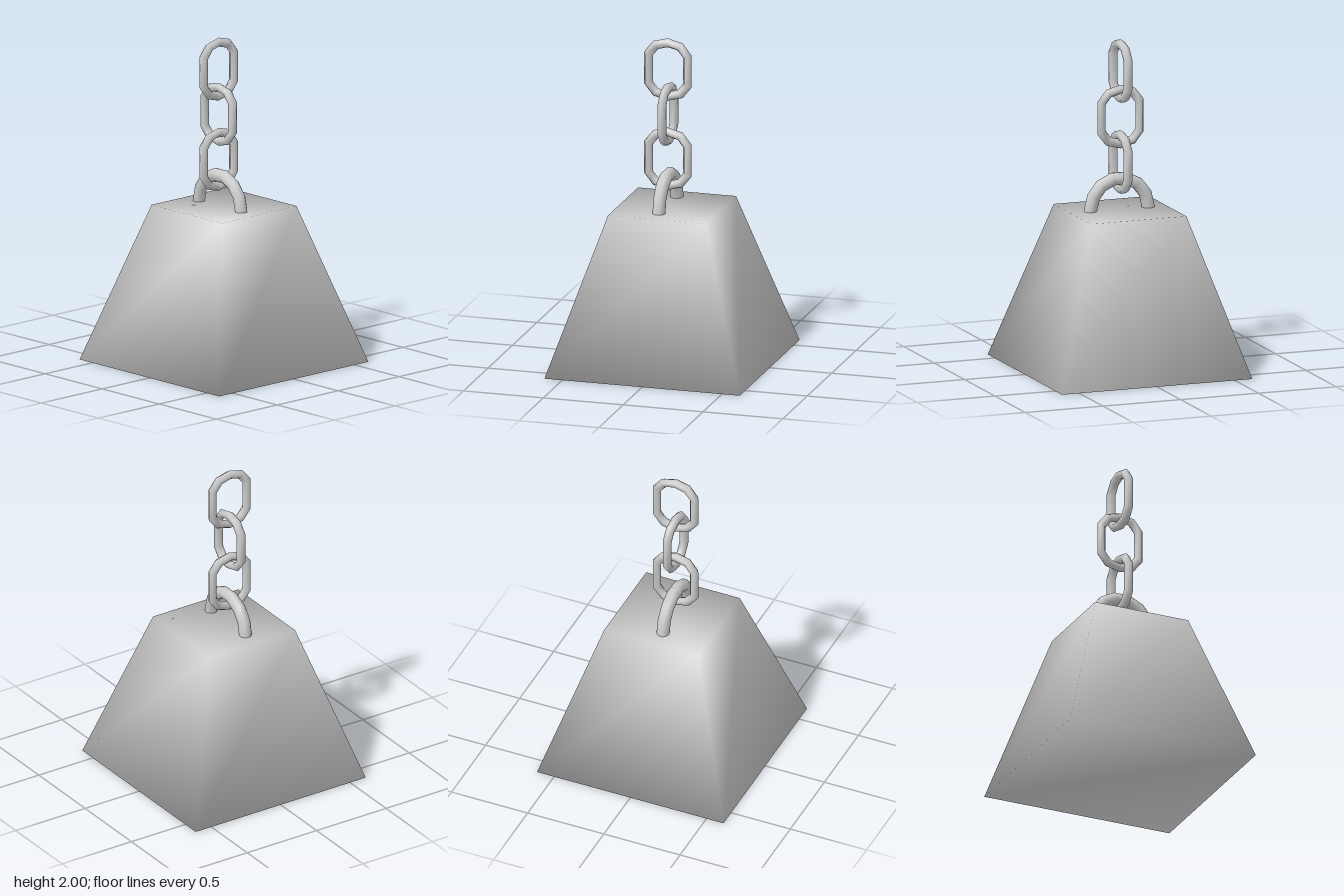
import * as THREE from 'three';
import { mergeVertices } from 'three/addons/utils/BufferGeometryUtils.js';

const material = new THREE.MeshStandardMaterial({ color: 0xcccccc });

// Sweeps a round section along a flat counter-clockwise path, with mitred corners
function sweep(path, radius, sides, closed, turn) {
  const n = path.length;
  const positions = [], index = [];
  const pts = path.map(([x, y]) => new THREE.Vector2(x, y));
  const direction = (a, b) => b.clone().sub(a).normalize();
  for (let i = 0; i < n; i++) {
    const before = closed || i > 0 ? direction(pts[(i + n - 1) % n], pts[i]) : null;
    const after = closed || i < n - 1 ? direction(pts[i], pts[(i + 1) % n]) : null;
    const d1 = before || after, d2 = after || before;
    const t = d1.clone().add(d2).normalize();
    const miter = radius / t.dot(d1);
    for (let j = 0; j < sides; j++) {
      const a = (j / sides) * Math.PI * 2 + turn;
      const out = Math.cos(a) * miter;
      positions.push(pts[i].x + t.y * out, pts[i].y - t.x * out, Math.sin(a) * radius);
    }
  }
  const spans = closed ? n : n - 1;
  for (let i = 0; i < spans; i++) {
    for (let j = 0; j < sides; j++) {
      const i2 = ((i + 1) % n) * sides, i1 = i * sides, j2 = (j + 1) % sides;
      index.push(i1 + j, i2 + j, i1 + j2, i2 + j, i2 + j2, i1 + j2);
    }
  }
  const geometry = new THREE.BufferGeometry();
  geometry.setAttribute('position', new THREE.Float32BufferAttribute(positions, 3));
  geometry.setIndex(index);
  geometry.computeVertexNormals();
  return geometry;
}

// Tapered block with normals shared across its eight corners
function weightGeometry(bottom, top, height) {
  let geometry = new THREE.BoxGeometry(2, height, 2);
  geometry.translate(0, height / 2, 0);
  const p = geometry.attributes.position;
  for (let i = 0; i < p.count; i++) {
    const half = p.getY(i) > height / 2 ? top : bottom;
    p.setX(i, p.getX(i) * half);
    p.setZ(i, p.getZ(i) * half);
  }
  geometry.deleteAttribute('uv');
  geometry.deleteAttribute('normal');
  geometry = mergeVertices(geometry);
  geometry.computeVertexNormals();
  return geometry;
}

export function createModel() {
  const model = new THREE.Group();
  const add = (name, geometry, x, y, z) => {
    const mesh = new THREE.Mesh(geometry, material);
    mesh.name = name;
    mesh.position.set(x, y, z);
    model.add(mesh);
    return mesh;
  };

  // Heavy block
  add('weightBlock', weightGeometry(0.612, 0.307, 0.96), 0, 0, 0);

  // Arched handle with its feet sunk into the block
  const arch = [[0.185, -0.04]];
  for (let i = 0; i <= 7; i++) {
    const a = (i / 7) * Math.PI;
    arch.push([0.185 * Math.cos(a), 0.188 * Math.sin(a)]);
  }
  arch.push([-0.185, -0.04]);
  add('handle', sweep(arch, 0.039, 8, false, Math.PI / 8), -0.006, 0.964, 0.027);

  // Chain of three links, each turned a quarter from the last
  const quarter = [[0.122, 0.09], [0.077, 0.147], [0, 0.167]];
  const upper = [...quarter, [-0.077, 0.147], [-0.122, 0.09]];
  const lower = upper.map(([x, y]) => [-x, -y]);
  const link = sweep([...upper, ...lower], 0.027, 6, true, 0);
  ['lowerLink', 'middleLink', 'upperLink'].forEach((name, i) => {
    const mesh = add(name, link, -0.015, 1.247 + i * 0.279, 0.03);
    if (i !== 1) mesh.rotation.y = Math.PI / 2;
  });

  return model;
}
